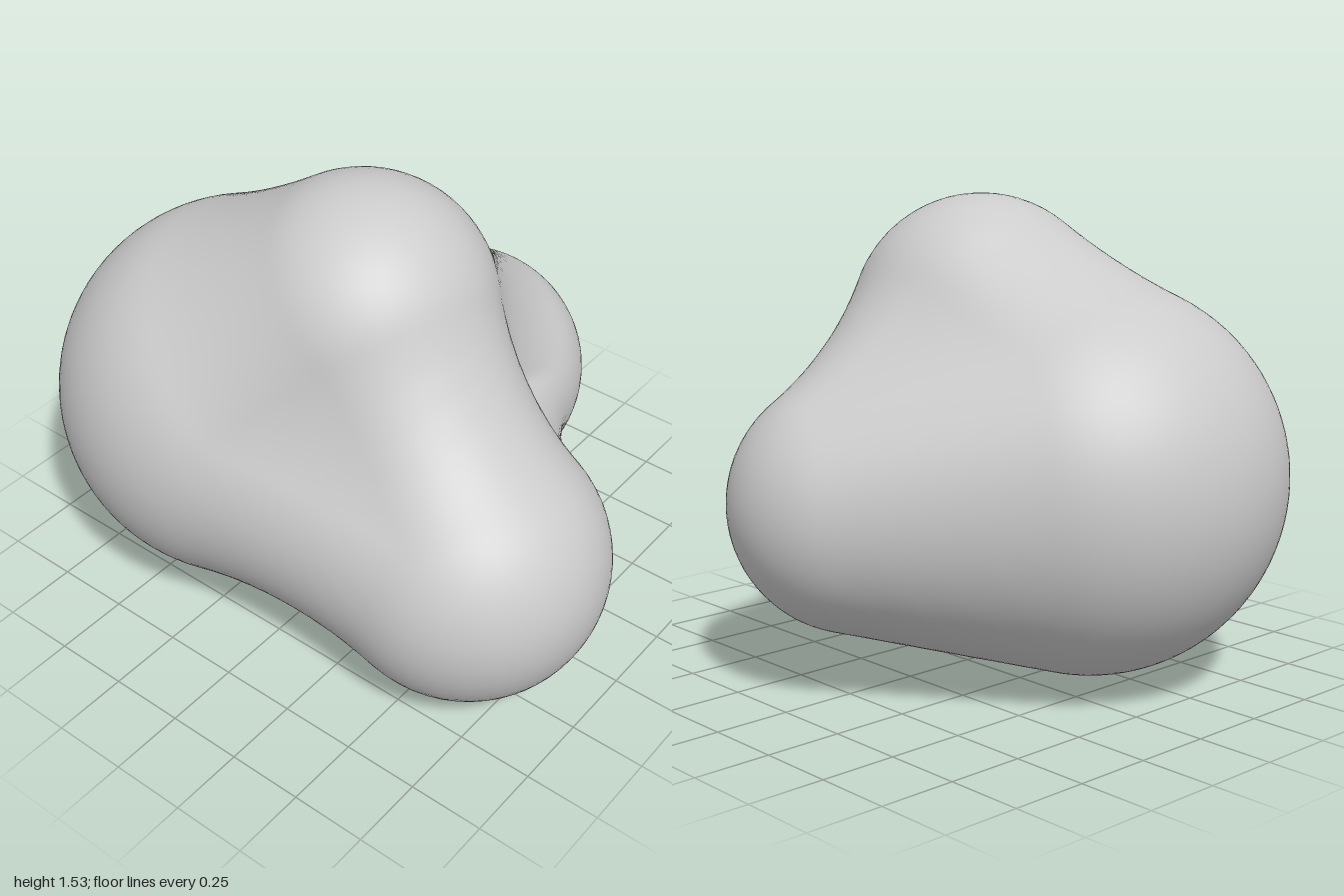
import * as THREE from 'three';
import { mergeVertices } from 'three/addons/utils/BufferGeometryUtils.js';

const v = (x, y, z) => new THREE.Vector3(x, y, z);

// Four rounded lobes of the boulder
const left = { p: v(-0.37, 0.66, 0.18), r: 0.63 };
const top = { p: v(0.04, 1.11, 0.1), r: 0.425 };
const right = { p: v(0.55, 0.45, 0.22), r: 0.45 };
const back = { p: v(0.06, 0.59, -0.41), r: 0.41 };

// Faces between three lobes: [a, b, c, waists of ab, bc and ca, dent in the middle]
const faces = [
  [left, top, right, 0.015, 0.06, 0.05, 0],
  [left, top, back, 0.015, 0.045, 0, 0],
  [left, right, back, 0.05, 0.11, 0, 0.02],
  [top, right, back, 0.06, 0.11, 0.045, 0.04],
];

// Fill every face with spheres whose radii run smoothly from lobe to lobe
const STEPS = 16;
const spheres = [];
for (const [a, b, c, ab, bc, ca, dent] of faces) {
  for (let i = 0; i <= STEPS; i++) {
    for (let j = 0; j <= STEPS - i; j++) {
      const s = i / STEPS, t = j / STEPS, u = 1 - s - t;
      const p = v(0, 0, 0).addScaledVector(a.p, s).addScaledVector(b.p, t).addScaledVector(c.p, u);
      const waist = 4 * (ab * s * t + bc * t * u + ca * u * s) + 27 * dent * s * t * u;
      spheres.push({ p, r: a.r * s + b.r * t + c.r * u - waist });
    }
  }
}

// How far a ray from the centre travels before leaving the last sphere
function reach(centre, dir) {
  let far = 0;
  const toCentre = v();
  for (const { p, r } of spheres) {
    toCentre.subVectors(p, centre);
    const along = toCentre.dot(dir);
    const h = along * along - toCentre.lengthSq() + r * r;
    if (h > 0) far = Math.max(far, along + Math.sqrt(h));
  }
  return far;
}

export function createModel() {
  const group = new THREE.Group();
  group.name = 'boulder';

  let geometry = new THREE.IcosahedronGeometry(1, 24);
  geometry.deleteAttribute('uv');
  geometry.deleteAttribute('normal');
  geometry = mergeVertices(geometry, 1e-4);

  // Push each point of a ball out to the skin of the lobes
  const centre = v(0.05, 0.66, 0.08);
  const pos = geometry.attributes.position;
  const dir = v();
  for (let i = 0; i < pos.count; i++) {
    dir.fromBufferAttribute(pos, i).normalize();
    dir.multiplyScalar(reach(centre, dir)).add(centre);
    pos.setXYZ(i, dir.x, dir.y, dir.z);
  }
  geometry.computeVertexNormals();

  const rock = new THREE.Mesh(geometry, new THREE.MeshStandardMaterial({ color: 0xcccccc }));
  rock.name = 'rock';
  group.add(rock);
  return group;
}
